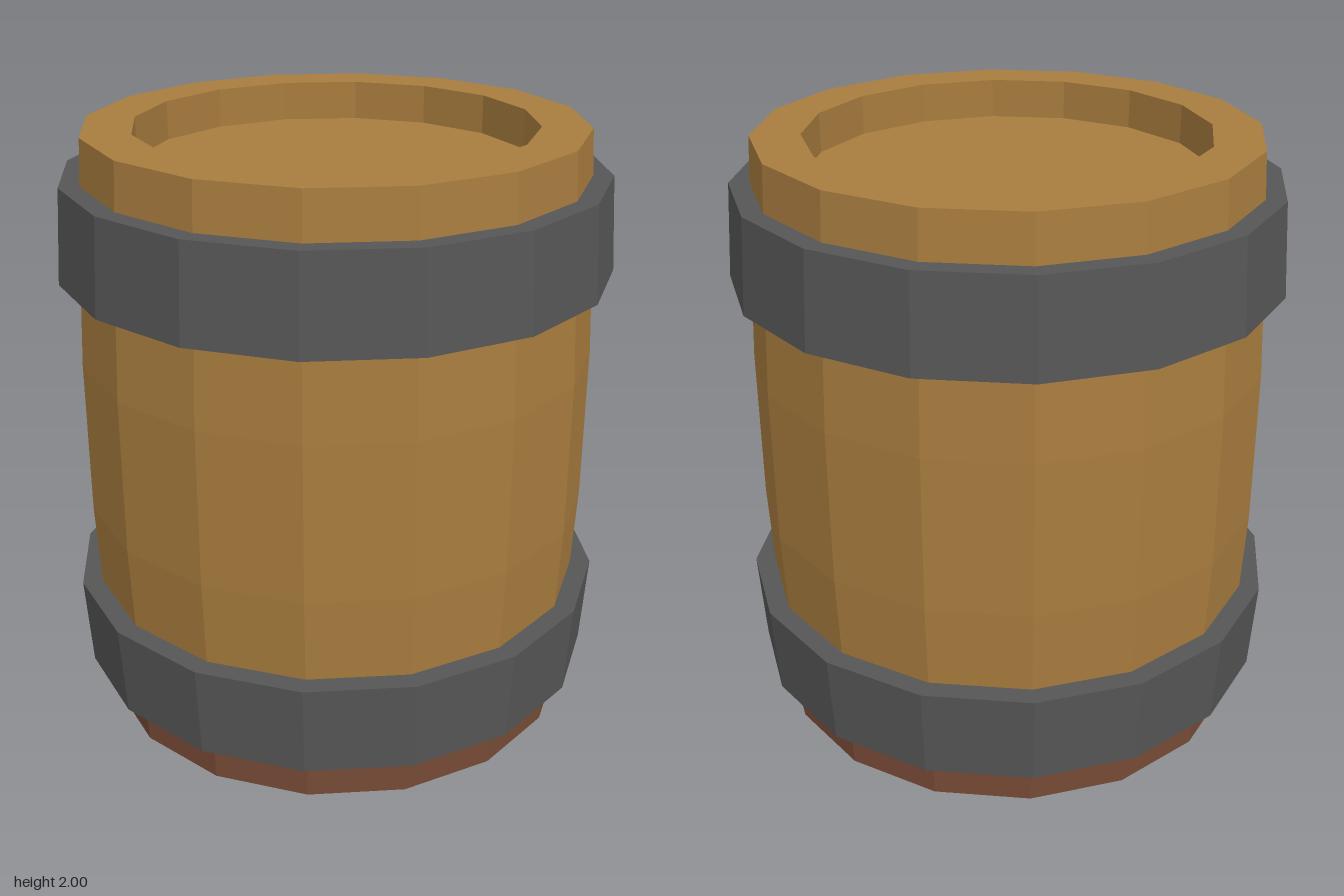
import * as THREE from 'three';

const SIDES = 16;

const material = (name, color) => {
  const m = new THREE.MeshStandardMaterial({ color, flatShading: true });
  m.name = name;
  return m;
};

// Turn a [radius, height] profile around the y axis; profiles run anticlockwise.
function turned(name, profile, mat) {
  const points = profile.map(([r, y]) => new THREE.Vector2(r, y));
  const mesh = new THREE.Mesh(new THREE.LatheGeometry(points, SIDES), mat);
  mesh.name = name;
  return mesh;
}

export function createModel() {
  const wood = material('golden wood', 0xa87c3e);
  const darkWood = material('red brown wood', 0x794c37);
  const iron = material('dark iron', 0x565656);

  const barrel = new THREE.Group();
  barrel.name = 'barrel';

  // Base with recessed underside, its upper edge hidden behind the lower hoop
  barrel.add(turned('base', [
    [0, 0.13], [0.65, 0.13], [0.65, 0], [0.81, 0], [0.836, 0.44],
  ], darkWood));

  // Bulging staves, rim and recessed lid
  barrel.add(turned('staves', [
    [0.836, 0.44], [0.85, 0.74], [0.85, 1.26], [0.836, 1.56],
    [0.81, 2], [0.65, 2],
  ], wood));
  barrel.add(turned('lid', [[0.65, 2], [0.65, 1.87], [0, 1.87]], wood));

  // Hoops, slightly wider towards the middle of the barrel
  const hoop = (name, y0, r0, y1, r1) => turned(name, [
    [r0, y0], [r1, y1], [0.8, y1], [0.8, y0], [r0, y0],
  ], iron);
  barrel.add(hoop('lowerHoop', 0.15, 0.885, 0.46, 0.905));
  barrel.add(hoop('upperHoop', 1.54, 0.905, 1.85, 0.885));

  return barrel;
}
